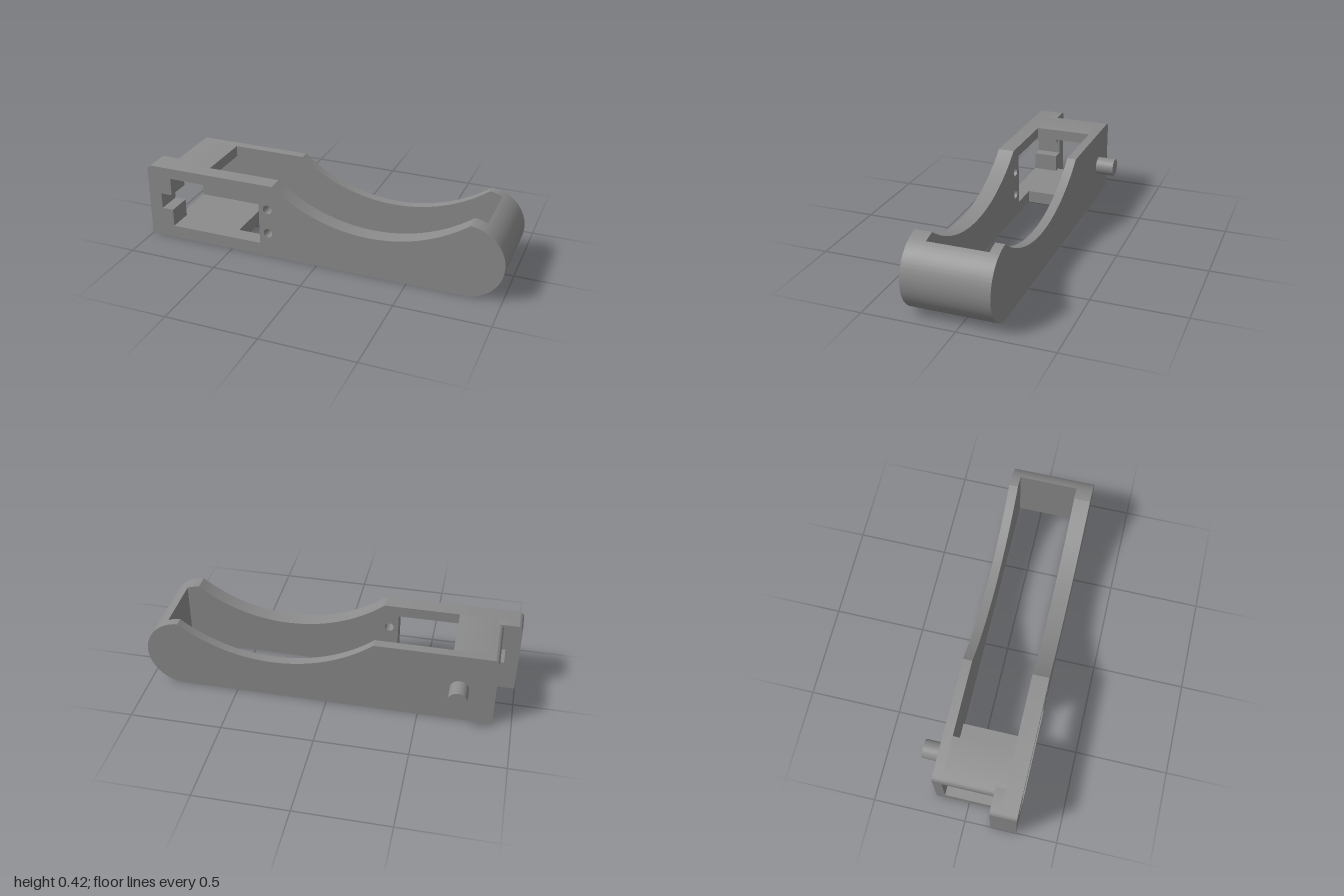
import * as THREE from 'three';
import { toCreasedNormals } from 'three/addons/utils/BufferGeometryUtils.js';

const TOP = 0.42;
const FILLET = 0.03;

export function createModel() {
  const model = new THREE.Group();
  const grey = new THREE.MeshStandardMaterial({ color: 0x8c8c8c });
  grey.name = 'plain grey';

  const add = (name, geometry) => {
    const mesh = new THREE.Mesh(geometry, grey);
    mesh.name = name;
    model.add(mesh);
    return mesh;
  };

  // Extrude an x-y outline from z0 to z1
  const slab = (name, shape, z0, z1) => {
    const g = new THREE.ExtrudeGeometry(shape, { depth: z1 - z0, bevelEnabled: false, curveSegments: 40 });
    g.translate(0, 0, z0);
    return add(name, toCreasedNormals(g, 0.4));
  };

  const polygon = (points, Kind = THREE.Shape) => new Kind(points.map(([x, y]) => new THREE.Vector2(x, y)));

  // Rounded upper corner at the square end
  const roundCorner = (s, left) => {
    s.lineTo(left + FILLET, TOP);
    s.absarc(left + FILLET, TOP - FILLET, FILLET, Math.PI / 2, Math.PI, false);
  };

  // Side wall outline: square end, dipped saddle, round nose
  const wallShape = (left) => {
    const s = new THREE.Shape();
    const cx = 0.294, cy = 1.081, r = 0.856;
    s.moveTo(left, 0);
    s.lineTo(0.8, 0);
    s.absarc(0.8, 0.2, 0.2, -Math.PI / 2, Math.acos(0.05), false);
    s.absarc(cx, cy, r, Math.atan2(0.398 - cy, 0.81 - cx), Math.atan2(TOP - cy, -0.25 - cx), true);
    roundCorner(s, left);
    s.lineTo(left, 0);
    return s;
  };

  // Front wall with notched window and two screw holes
  const front = wallShape(-1);
  front.holes.push(polygon([
    [-0.86, 0.07], [-0.86, 0.17], [-0.925, 0.17], [-0.925, 0.26],
    [-0.86, 0.26], [-0.86, 0.36], [-0.33, 0.36], [-0.33, 0.07],
  ], THREE.Path));
  for (const y of [0.14, 0.28]) {
    const hole = new THREE.Path();
    hole.absarc(-0.28, y, 0.025, 0, Math.PI * 2, true);
    front.holes.push(hole);
  }
  slab('frontWall', front, 0.19, 0.28);

  // Back wall
  slab('backWall', wallShape(-0.9), -0.18, -0.13);

  // Thickened flange behind the front wall, with the notch
  const flange = new THREE.Shape();
  flange.moveTo(-1, 0);
  for (const [x, y] of [[-0.86, 0], [-0.86, 0.17], [-0.925, 0.17], [-0.925, 0.26], [-0.86, 0.26], [-0.86, TOP]]) {
    flange.lineTo(x, y);
  }
  roundCorner(flange, -1);
  flange.lineTo(-1, 0);
  slab('endFlange', flange, 0.14, 0.19);

  // Roof and floor of the pocket
  const roof = new THREE.Shape();
  roof.moveTo(-0.9, 0.36);
  roof.lineTo(-0.66, 0.36);
  roof.lineTo(-0.66, TOP);
  roundCorner(roof, -0.9);
  roof.lineTo(-0.9, 0.36);
  slab('pocketRoof', roof, -0.13, 0.19);
  slab('pocketFloor', polygon([[-0.9, 0], [-0.5, 0], [-0.5, 0.07], [-0.9, 0.07]]), -0.13, 0.19);

  // Rounded nose joining the two walls
  const nose = new THREE.Shape();
  const a = Math.acos(0.08 / 0.2);
  nose.absarc(0.8, 0.2, 0.2, -a, a, false);
  nose.closePath();
  slab('nose', nose, -0.13, 0.19);

  // Pivot peg on the back
  const peg = add('pivotPeg', new THREE.CylinderGeometry(0.051, 0.051, 0.105, 40));
  peg.rotation.x = Math.PI / 2;
  peg.position.set(-0.71, 0.21, -0.2305);

  return model;
}
